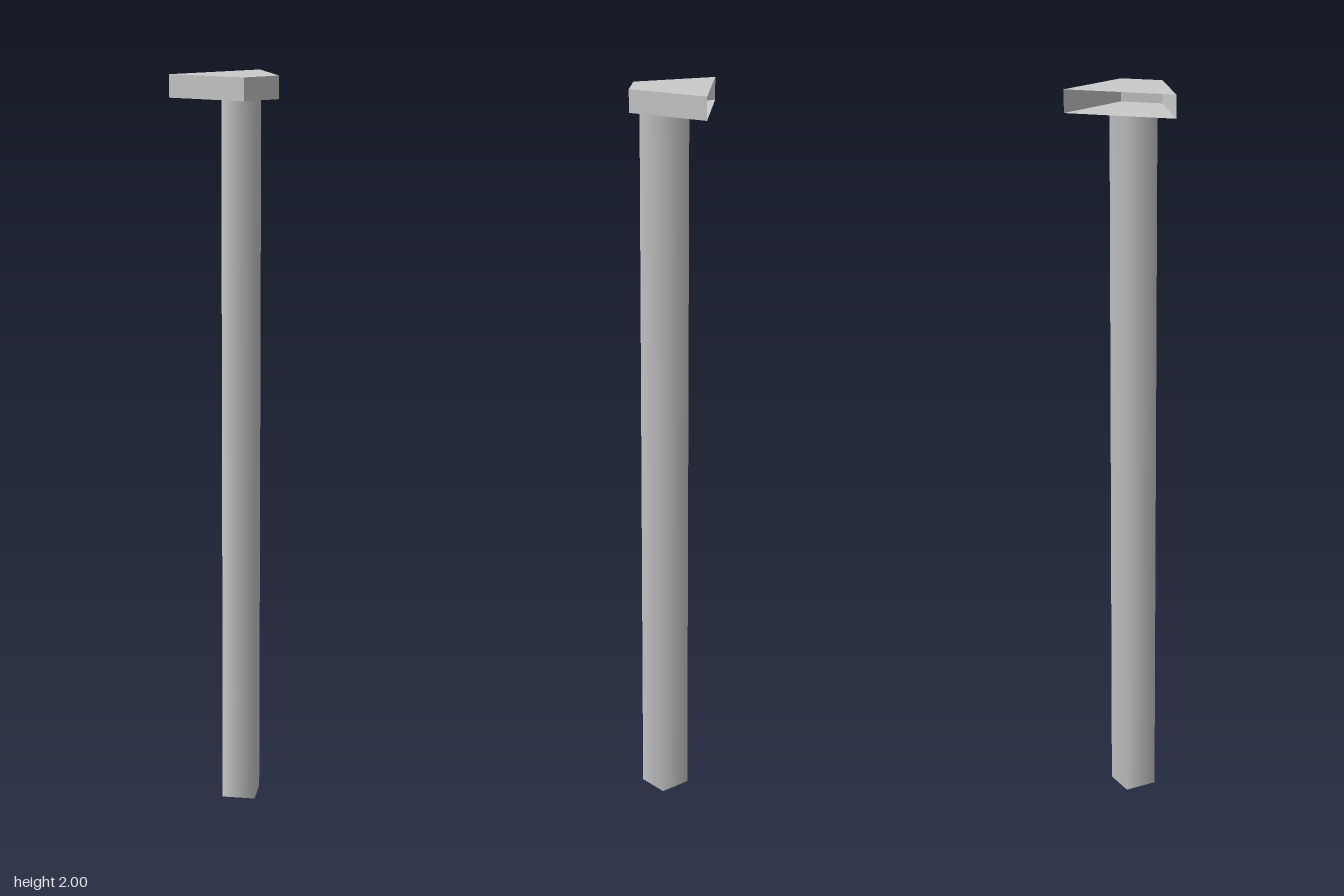
import * as THREE from 'three';

const material = new THREE.MeshStandardMaterial({ color: 0xcccccc, side: THREE.DoubleSide });

const HEAD_BOTTOM = 1.94, HEAD_TOP = 2;
// Trapezoid outline of the head as [x, z], from back left round the front to back right
const outline = [[-0.147, -0.103], [-0.056, 0.102], [0.056, 0.102], [0.147, -0.103]];

function addMesh(parent, name, geometry) {
  const mesh = new THREE.Mesh(geometry, material);
  mesh.name = name;
  parent.add(mesh);
  return mesh;
}

// Flat trapezoid plate, facing up or down
function plate(y, faceUp) {
  const sign = faceUp ? -1 : 1;
  const shape = new THREE.Shape(outline.map(([x, z]) => new THREE.Vector2(x, sign * z)));
  return new THREE.ShapeGeometry(shape).rotateX(sign * Math.PI / 2).translate(0, y, 0);
}

// Upright wall between two outline points
function wall([x0, z0], [x1, z1]) {
  const length = Math.hypot(x1 - x0, z1 - z0);
  return new THREE.PlaneGeometry(length, HEAD_TOP - HEAD_BOTTOM)
    .rotateY(Math.atan2(z0 - z1, x1 - x0))
    .translate((x0 + x1) / 2, (HEAD_TOP + HEAD_BOTTOM) / 2, (z0 + z1) / 2);
}

export function createModel() {
  const model = new THREE.Group();
  model.name = 'post';

  // Four-sided hollow shaft, corners towards the axes, smoothly shaded and open at both ends
  const shaft = addMesh(model, 'shaft',
    new THREE.CylinderGeometry(0.064, 0.064, HEAD_BOTTOM, 4, 1, true));
  shaft.position.set(-0.002, HEAD_BOTTOM / 2, 0.017);

  // Hollow head: top, floor and three walls, open at the back
  const head = new THREE.Group();
  head.name = 'head';
  addMesh(head, 'headTop', plate(HEAD_TOP, true));
  addMesh(head, 'headFloor', plate(HEAD_BOTTOM, false));
  ['headRightWall', 'headFrontWall', 'headLeftWall'].forEach((name, i) =>
    addMesh(head, name, wall(outline[i], outline[i + 1])));
  model.add(head);

  return model;
}
